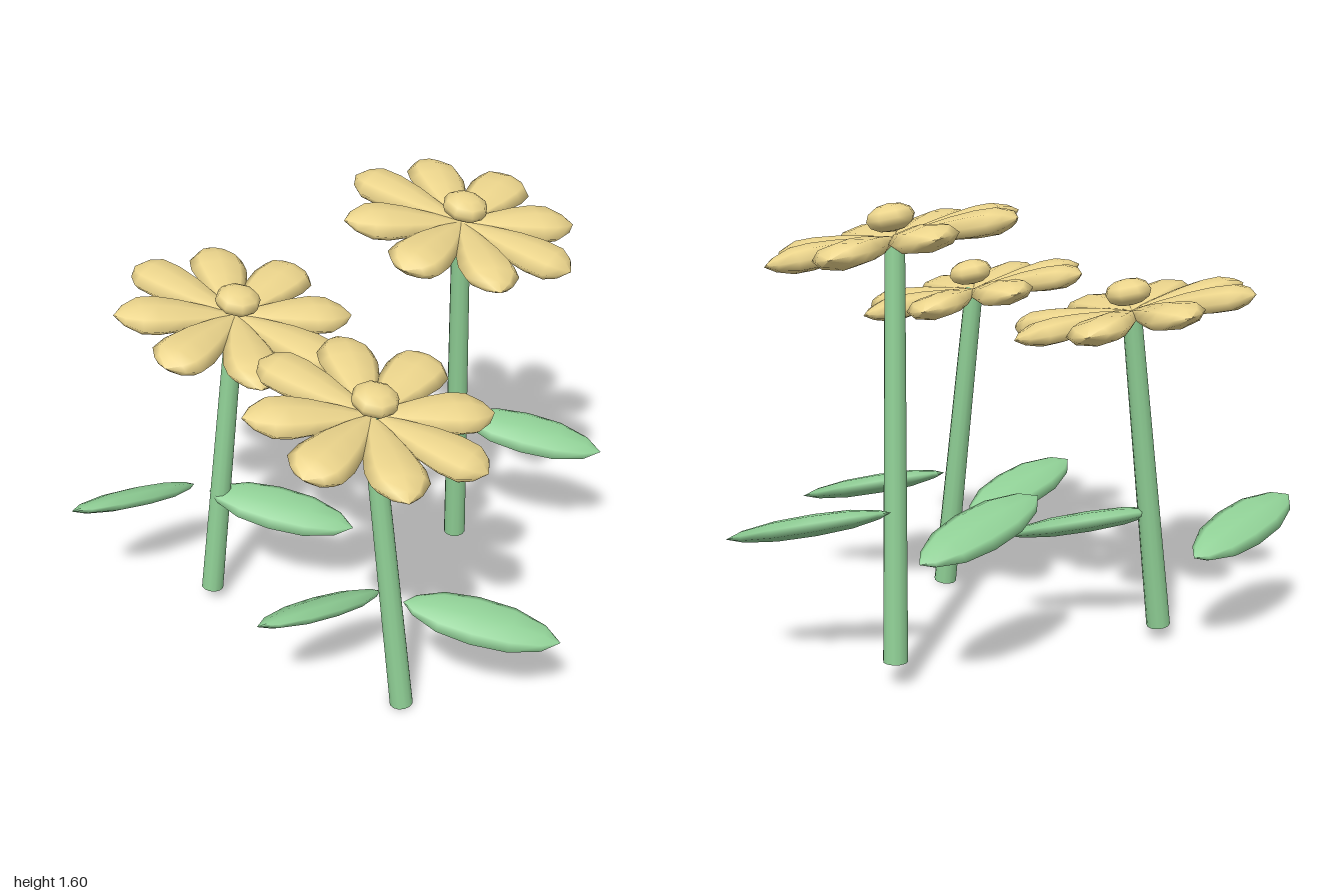
import * as THREE from 'three';

const V = (x, y, z) => new THREE.Vector3(x, y, z);
const UP = V(0, 1, 0);
const green = new THREE.MeshStandardMaterial({ color: 0x8fcf95 });
const yellow = new THREE.MeshStandardMaterial({ color: 0xecd58c });

// Plump blade lying along +z with its flat side up, from [half width, distance] pairs
function blade(profile, flatness) {
  const points = profile.map(([r, t]) => new THREE.Vector2(r, t));
  return new THREE.LatheGeometry(points, 8).scale(1, 1, flatness).rotateX(Math.PI / 2);
}

const petalShape = blade([[0, 0], [0.018, 0.02], [0.052, 0.1], [0.086, 0.2],
  [0.103, 0.28], [0.098, 0.34], [0.055, 0.395], [0, 0.43]], 0.42);
const bluntPetalShape = blade([[0, 0], [0.018, 0.02], [0.052, 0.1], [0.086, 0.2],
  [0.103, 0.29], [0.1, 0.36], [0.065, 0.4], [0, 0.43]], 0.42);
const leafShape = blade([[0, 0], [0.04, 0.04], [0.08, 0.13], [0.095, 0.25],
  [0.088, 0.38], [0.052, 0.49], [0, 0.55]], 0.38);
const budShape = new THREE.SphereGeometry(0.082, 8, 6).scale(1, 0.55, 1);

function part(name, geometry, material) {
  const mesh = new THREE.Mesh(geometry, material);
  mesh.name = name;
  return mesh;
}

// Tapered stem between two points
function makeStem(from, to) {
  const axis = to.clone().sub(from);
  const stem = part('stem', new THREE.CylinderGeometry(0.033, 0.042, axis.length(), 12), green);
  stem.position.copy(from).addScaledVector(axis, 0.5);
  stem.quaternion.setFromUnitVectors(UP, axis.normalize());
  return stem;
}

// Leaf between two points, facing along the given normal
function makeLeaf(name, from, to, normal) {
  const axis = to.clone().sub(from);
  const leaf = part(name, leafShape, green);
  leaf.scale.z = axis.length() / 0.55;
  const z = axis.normalize();
  const x = normal.clone().cross(z).normalize();
  const y = z.clone().cross(x);
  leaf.quaternion.setFromRotationMatrix(new THREE.Matrix4().makeBasis(x, y, z));
  leaf.position.copy(from);
  return leaf;
}

// Eight petals around a raised centre, tipped forward and to the side
function makeBloom(centre) {
  const bloom = new THREE.Group();
  bloom.name = 'bloom';
  for (let i = 0; i < 8; i++) {
    const petal = part('petal', i % 2 ? bluntPetalShape : petalShape, yellow);
    petal.rotation.y = (i * Math.PI) / 4;
    bloom.add(petal);
  }
  const bud = part('flowerCentre', budShape, yellow);
  bud.position.y = 0.065;
  bloom.add(bud);
  bloom.position.copy(centre);
  bloom.quaternion.setFromUnitVectors(UP, V(0.152, 1, 0.152).normalize());
  return bloom;
}

export function createModel() {
  const model = new THREE.Group();
  model.name = 'flowers';
  const flowers = [
    { name: 'frontFlower', base: V(0.015, 0.004, 0.443), top: V(-0.072, 1.16, 0.35), leaves: V(0, 0, 0) },
    { name: 'rightFlower', base: V(-0.5, 0.05, -0.35), top: V(-0.36, 1.2, -0.362), leaves: V(-0.51, 0.04, -0.79) },
    { name: 'leftFlower', base: V(0.495, 0.09, -0.39), top: V(0.44, 1.485, -0.287), leaves: V(0.485, 0.172, -0.83) },
  ];
  for (const f of flowers) {
    const flower = new THREE.Group();
    flower.name = f.name;
    const leaves = new THREE.Group();
    leaves.name = 'leaves';
    leaves.position.copy(f.leaves);
    leaves.add(
      makeLeaf('leftLeaf', V(0.02, 0.443, 0.43), V(0.51, 0.337, 0.665), V(0, 1, 0.45)),
      makeLeaf('rightLeaf', V(0, 0.337, 0.215), V(-0.49, 0.44, 0.42), V(0, 1, -0.48)),
    );
    flower.add(makeStem(f.base, f.top), makeBloom(f.top), leaves);
    model.add(flower);
  }
  return model;
}
